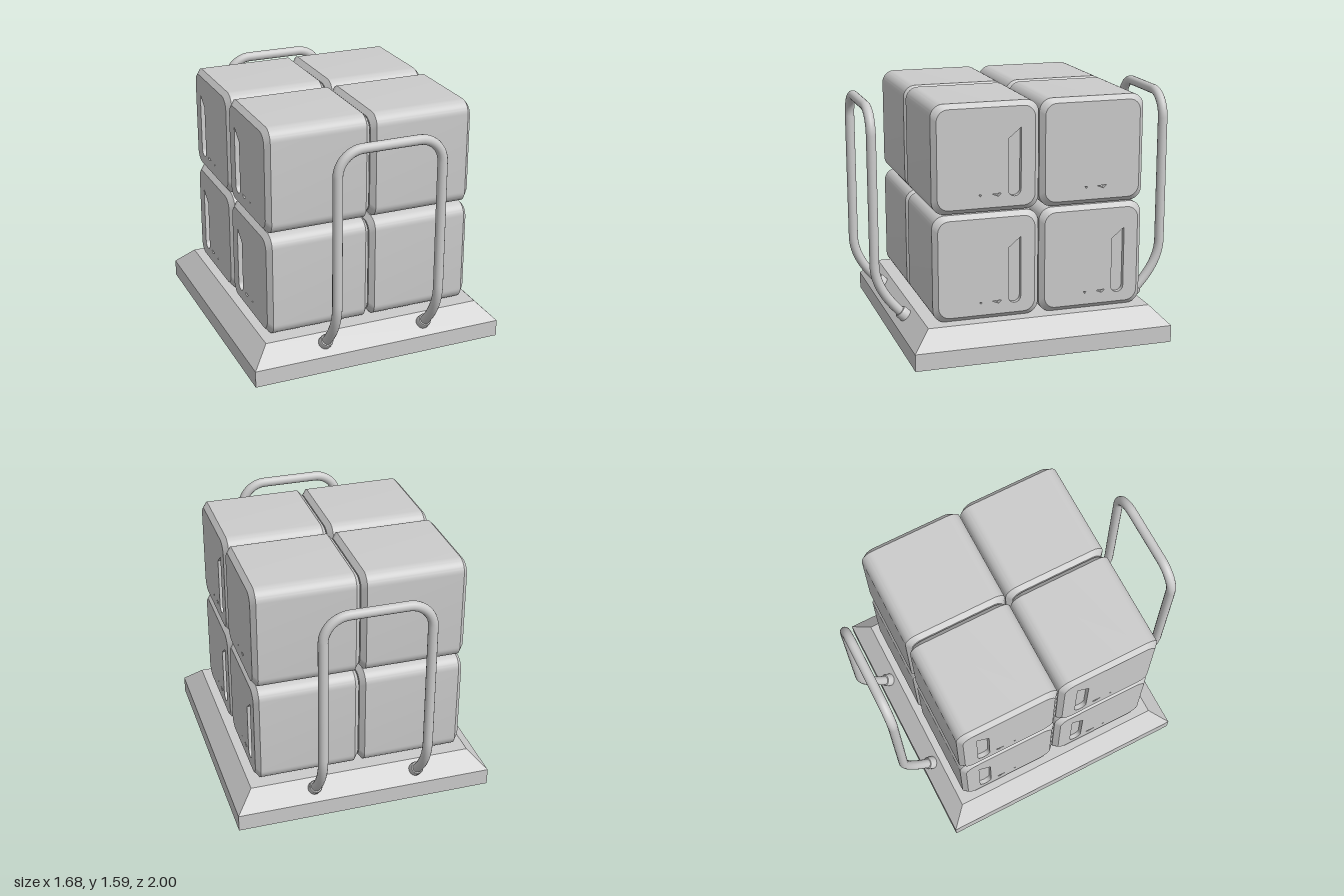
import * as THREE from 'three';
import { mergeGeometries, toCreasedNormals } from 'three/addons/utils/BufferGeometryUtils.js';

const material = new THREE.MeshStandardMaterial({ color: 0xcccccc });
const SIZE = 0.68, CHAMFER = 0.03, HALF = SIZE / 2;

// Rounded square outline of a block's side
function blockOutline() {
  const h = HALF, r = 0.08, s = new THREE.Shape();
  s.absarc(h - r, h - r, r, 0, Math.PI / 2);
  s.absarc(-h + r, h - r, r, Math.PI / 2, Math.PI);
  s.absarc(-h + r, -h + r, r, Math.PI, Math.PI * 1.5);
  s.absarc(h - r, -h + r, r, Math.PI * 1.5, Math.PI * 2);
  s.closePath();
  return s;
}

// Recesses in a block's outer face: tall slanted slot and small notches
function recesses(side, withSlot) {
  const path = pts => new THREE.Path(pts.map(([z, y]) => new THREE.Vector2(-side * z, y)));
  const holes = [
    path([[-0.095, -0.222], [-0.035, -0.226], [-0.075, -0.243]]),
    path([[0.03, -0.226], [0.048, -0.226], [0.04, -0.238]]),
  ];
  if (withSlot) {
    const slot = [[-0.22, 0.178], [-0.138, 0.11]];
    for (let i = 0; i <= 8; i++) {
      const a = -Math.PI * i / 8;
      slot.push([-0.179 + 0.041 * Math.cos(a), -0.208 + 0.04 * Math.sin(a)]);
    }
    holes.push(path(slot));
  }
  return holes;
}

// Face plate whose outer rim is drawn in to form the chamfer
function chamferedPlate(holes) {
  const shape = blockOutline();
  shape.holes.push(...holes);
  const g = new THREE.ExtrudeGeometry(shape, { depth: CHAMFER, bevelEnabled: false, curveSegments: 8 });
  const p = g.attributes.position, k = (HALF - CHAMFER) / HALF;
  for (let i = 0; i < p.count; i++) {
    const x = p.getX(i), y = p.getY(i);
    if (p.getZ(i) > CHAMFER / 2 && Math.max(Math.abs(x), Math.abs(y)) > 0.28) p.setXY(i, x * k, y * k);
  }
  return g;
}

function blockGeometry(side, withSlot) {
  const depth = SIZE - 2 * CHAMFER;
  const core = new THREE.ExtrudeGeometry(blockOutline(), { depth, bevelEnabled: false, curveSegments: 8 });
  core.translate(0, 0, -depth / 2);
  const outer = chamferedPlate(recesses(side, withSlot)).translate(0, 0, depth / 2);
  const inner = chamferedPlate([]).translate(0, 0, depth / 2).rotateY(Math.PI);
  const g = toCreasedNormals(mergeGeometries([core, outer, inner]), 0.5);
  return g.rotateY(side * Math.PI / 2);
}

// Bent tube with a ferrule at each foot
function createHandle() {
  const handle = new THREE.Group();
  const w = 0.34, top = 1.52, z = 0.97, r = 0.16, k = r * 0.448;
  const v = (x, y, zz = z) => new THREE.Vector3(x, y, zz);
  const path = new THREE.CurvePath();
  path.add(new THREE.QuadraticBezierCurve3(v(-w, 0.2, 0.8), v(-w, 0.37), v(-w, 0.53)));
  path.add(new THREE.LineCurve3(v(-w, 0.53), v(-w, top - r)));
  path.add(new THREE.CubicBezierCurve3(v(-w, top - r), v(-w, top - k), v(-w + k, top), v(-w + r, top)));
  path.add(new THREE.LineCurve3(v(-w + r, top), v(w - r, top)));
  path.add(new THREE.CubicBezierCurve3(v(w - r, top), v(w - k, top), v(w, top - k), v(w, top - r)));
  path.add(new THREE.LineCurve3(v(w, top - r), v(w, 0.53)));
  path.add(new THREE.QuadraticBezierCurve3(v(w, 0.53), v(w, 0.37), v(w, 0.2, 0.8)));
  const tube = new THREE.Mesh(new THREE.TubeGeometry(path, 160, 0.031, 16), material);
  tube.name = 'handleTube';
  handle.add(tube);

  const profile = [[0, -0.045], [0.043, -0.045], [0.043, 0.025], [0.038, 0.036], [0.03, 0.038]]
    .map(([x, y]) => new THREE.Vector2(x, y));
  const ferruleGeometry = toCreasedNormals(new THREE.LatheGeometry(profile, 20).toNonIndexed(), 0.5);
  for (const side of [-1, 1]) {
    const ferrule = new THREE.Mesh(ferruleGeometry, material);
    ferrule.name = 'handleFerrule';
    ferrule.position.set(side * w, 0.187, 0.787);
    ferrule.rotation.x = Math.PI / 4;
    handle.add(ferrule);
  }
  return handle;
}

export function createModel() {
  const model = new THREE.Group();
  model.name = 'stackedBlocksOnBase';

  // Square base with sloping shoulders
  const q = Math.SQRT2;
  const baseProfile = [[0, 0], [0.84 * q, 0], [0.84 * q, 0.11], [0.728 * q, 0.225], [0, 0.225]]
    .map(([x, y]) => new THREE.Vector2(x, y));
  const baseMaterial = new THREE.MeshStandardMaterial({ color: 0xcccccc, flatShading: true });
  const base = new THREE.Mesh(new THREE.LatheGeometry(baseProfile, 4, Math.PI / 4), baseMaterial);
  base.name = 'base';
  model.add(base);

  // Two by two by two stack of blocks
  for (const sx of [-1, 1]) for (const sz of [-1, 1]) for (const level of [0, 1]) {
    const withSlot = !(sx === 1 && sz === -1 && level === 1);
    const block = new THREE.Mesh(blockGeometry(sx, withSlot), material);
    block.name = 'block';
    block.position.set(sx * 0.343 - 0.004, 0.567 + level * 0.687, sz * 0.343 - 0.004);
    model.add(block);
  }

  // Handles front and back
  for (const [name, turn] of [['frontHandle', 0], ['backHandle', Math.PI]]) {
    const handle = createHandle();
    handle.name = name;
    handle.rotation.y = turn;
    handle.position.x = -0.014;
    model.add(handle);
  }
  return model;
}
